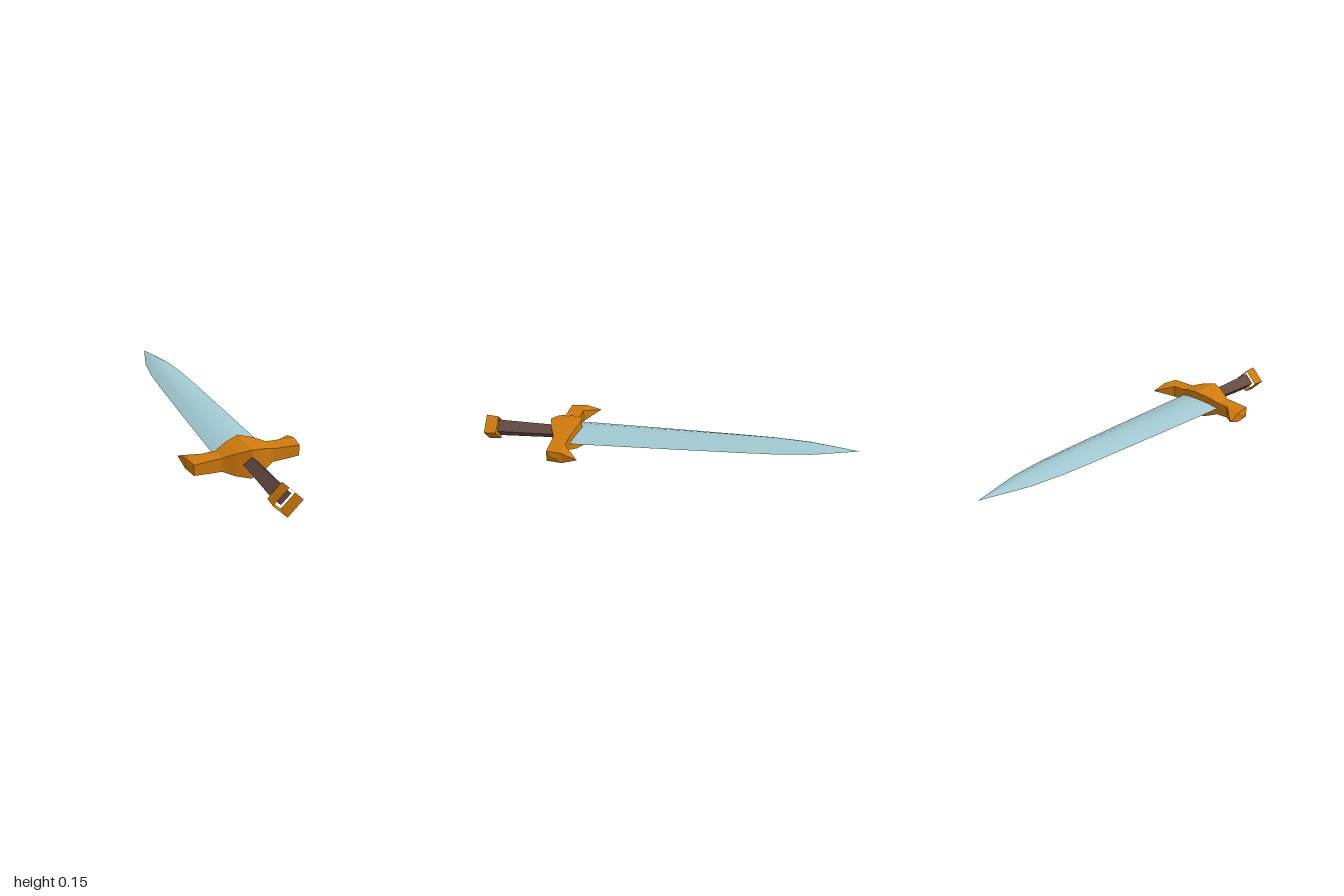
import * as THREE from 'three';

const CY = 0.077; // height of the sword's axis

// Skin consecutive cross-sections, each a list of [x, y, z] points
function loft(sections, closed, flat) {
  const n = sections[0].length;
  const index = [];
  for (let s = 0; s < sections.length - 1; s++) {
    for (let i = 0; i < (closed ? n : n - 1); i++) {
      const j = (i + 1) % n;
      const a = s * n + i, b = s * n + j, c = b + n, d = a + n;
      index.push(a, d, b, b, d, c);
    }
  }
  let geo = new THREE.BufferGeometry();
  geo.setAttribute('position', new THREE.Float32BufferAttribute(sections.flat(2), 3));
  geo.setIndex(index);
  if (flat) geo = geo.toNonIndexed();
  geo.computeVertexNormals();
  return geo;
}

// Diamond cross-section facing along z
const diamond = (r, z) => [[r, CY, z], [0, CY + r, z], [-r, CY, z], [0, CY - r, z]];

export function createModel() {
  const group = new THREE.Group();
  const material = (name, color) => {
    const m = new THREE.MeshStandardMaterial({ color, side: THREE.DoubleSide });
    m.name = name;
    return m;
  };
  const gold = material('gold', 0xd07a0c);
  const steel = material('paleBlueSteel', 0xa0c8d0);
  const leather = material('brownLeather', 0x654b43);

  const add = (name, geo, mat) => {
    const mesh = new THREE.Mesh(geo, mat);
    mesh.name = name;
    group.add(mesh);
  };

  // Pommel: open diamond ring, slightly flared
  add('pommel', loft([diamond(0.073, 1), diamond(0.067, 0.935)], true, true), gold);

  // Grip: open tapered diamond tube
  add('grip', loft([diamond(0.048, 0.935), diamond(0.038, 0.6)], true, true), leather);

  // Guard: rectangular sections along x, [front x, back x, half height, front z, back z]
  const half = [
    [0, 0, 0.075, 0.64, 0.47],
    [0.07, 0.07, 0.059, 0.62, 0.49],
    [0.105, 0.105, 0.046, 0.605, 0.503],
    [0.13, 0.13, 0.035, 0.595, 0.512],
    [0.2, 0.2, 0.032, 0.595, 0.512],
    [0.27, 0.283, 0.028, 0.595, 0.512],
    [0.285, 0.288, 0, 0.555, 0.54],
  ];
  const guardSection = (side) => ([xf, xb, h, zf, zb]) => [
    [side * xf, CY + h, zf], [side * xb, CY + h, zb],
    [side * xb, CY - h, zb], [side * xf, CY - h, zf],
  ];
  const guardSections = [
    ...half.slice(1).reverse().map(guardSection(-1)),
    ...half.map(guardSection(1)),
  ];
  add('guard', loft(guardSections, true, true), gold);

  // Horns: pointed tips sweeping toward the blade
  for (const side of [-1, 1]) {
    const base = [
      [side * 0.283, CY - 0.028, 0.512], [side * 0.283, CY + 0.028, 0.512],
      [side * 0.2, CY + 0.032, 0.512], [side * 0.2, CY - 0.032, 0.512],
    ];
    if (side < 0) base.reverse();
    const tip = base.map(() => [side * 0.291, CY, 0.43]);
    add(side > 0 ? 'leftHorn' : 'rightHorn', loft([base, tip], true, true), gold);
  }

  // Blade: [z, half width, half thickness], smooth on each face with sharp edges
  const stations = [
    [0.55, 0.131, 0.035], [0.4, 0.127, 0.035], [0, 0.115, 0.035], [-0.4, 0.101, 0.035],
    [-0.57, 0.092, 0.034], [-0.75, 0.07, 0.025], [-0.87, 0.037, 0.013], [-1, 0, 0],
  ];
  const arch = [[1, 0], [0.55, 0.62], [0, 1], [-0.55, 0.62], [-1, 0]];
  for (const side of [1, -1]) {
    const sections = stations.map(([z, w, h]) =>
      arch.map(([u, v]) => [side * u * w, CY + side * v * h, z]));
    add(side > 0 ? 'bladeUpperFace' : 'bladeLowerFace', loft(sections, false, false), steel);
  }

  return group;
}
